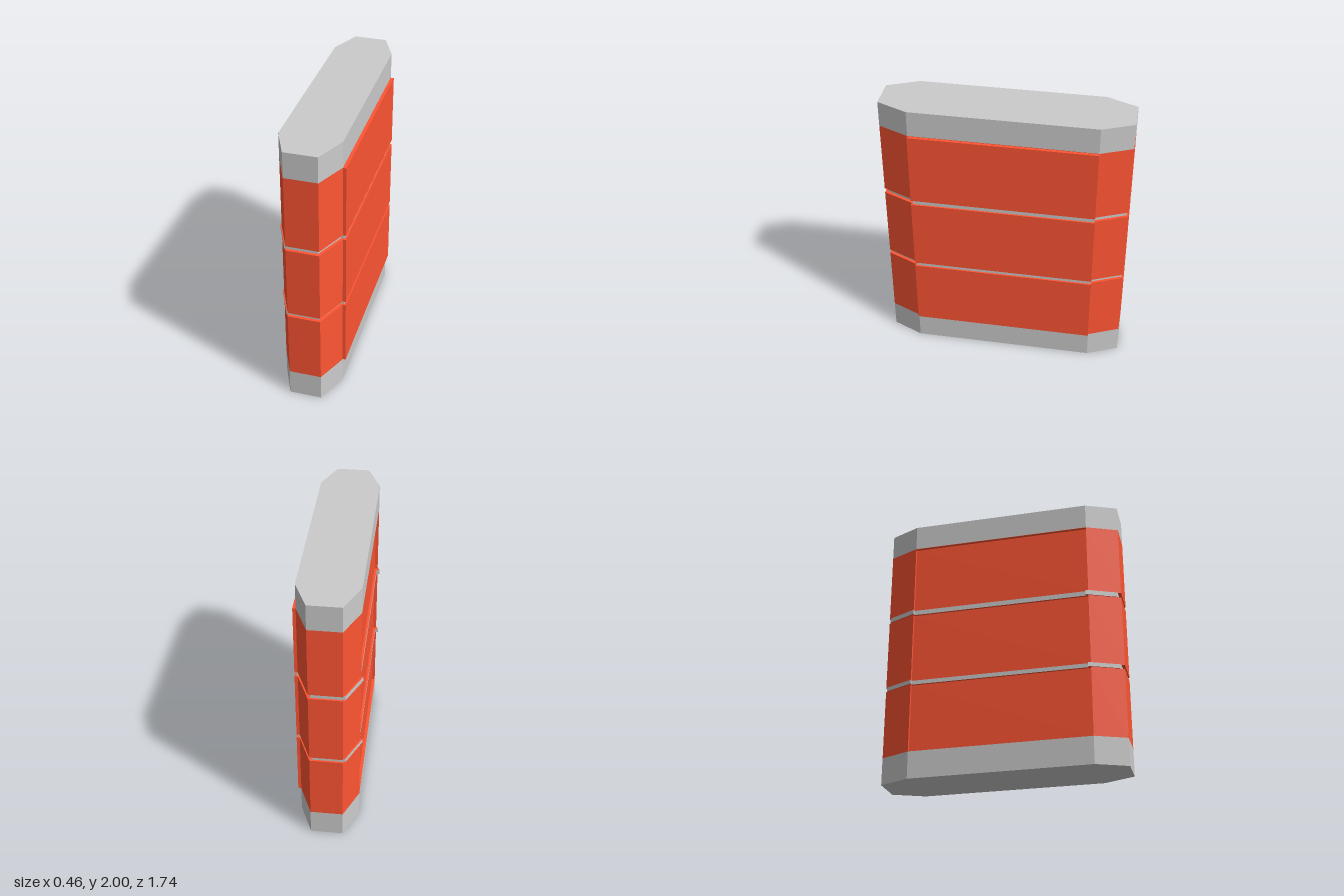
import * as THREE from 'three';

// Plan outlines as [x, z] corners
const octagon = [
  [-0.12, 0.87], [0.11, 0.87], [0.207, 0.65], [0.207, -0.65],
  [0.11, -0.87], [-0.12, -0.87], [-0.217, -0.65], [-0.217, 0.65],
];

// Octagon with the left side raised and the right side recessed
const panelled = [
  [-0.12, 0.87], [0.11, 0.87], [0.207, 0.65], [0.229, 0.65],
  [0.229, -0.65], [0.207, -0.65], [0.11, -0.87], [-0.12, -0.87],
  [-0.217, -0.65], [-0.195, -0.65], [-0.195, 0.65], [-0.217, 0.65],
];

// Seam outline, slightly shifted and shorter than the panels
const seam = [
  [-0.136, 0.848], [0.095, 0.848], [0.191, 0.636], [0.217, 0.636],
  [0.217, -0.643], [0.191, -0.643], [0.095, -0.857], [-0.136, -0.857],
  [-0.233, -0.645], [-0.211, -0.645], [-0.211, 0.632], [-0.233, 0.632],
];

export function createModel() {
  const group = new THREE.Group();
  const grey = new THREE.MeshStandardMaterial({ color: 0xcccccc });
  const red = new THREE.MeshStandardMaterial({ color: 0xff5533 });

  // Upright slab between two heights; ends and sides may differ in colour
  function layer(name, outline, y0, y1, endMat, sideMat) {
    const shape = new THREE.Shape(outline.map(([x, z]) => new THREE.Vector2(x, -z)));
    const geo = new THREE.ExtrudeGeometry(shape, { depth: y1 - y0, bevelEnabled: false });
    geo.rotateX(-Math.PI / 2);
    geo.translate(0, y0, 0);
    const mesh = new THREE.Mesh(geo, [endMat, sideMat]);
    mesh.name = name;
    group.add(mesh);
  }

  // Grey base and top
  layer('base', octagon, 0, 0.197, grey, grey);
  layer('topCap', octagon, 1.813, 2, grey, grey);

  // Thin red ledges closing the recess
  layer('lowerLedge', octagon, 0.197, 0.2, red, red);
  layer('upperLedge', octagon, 1.81, 1.813, red, red);

  // Red panel blocks
  [[0.2, 0.7], [0.73, 1.255], [1.29, 1.81]].forEach(([y0, y1], i) =>
    layer(`panelBlock${i + 1}`, panelled, y0, y1, red, red));

  // Grey seams with red ledges between the blocks
  [[0.7, 0.73], [1.255, 1.29]].forEach(([y0, y1], i) =>
    layer(`seam${i + 1}`, seam, y0, y1, red, grey));

  return group;
}
